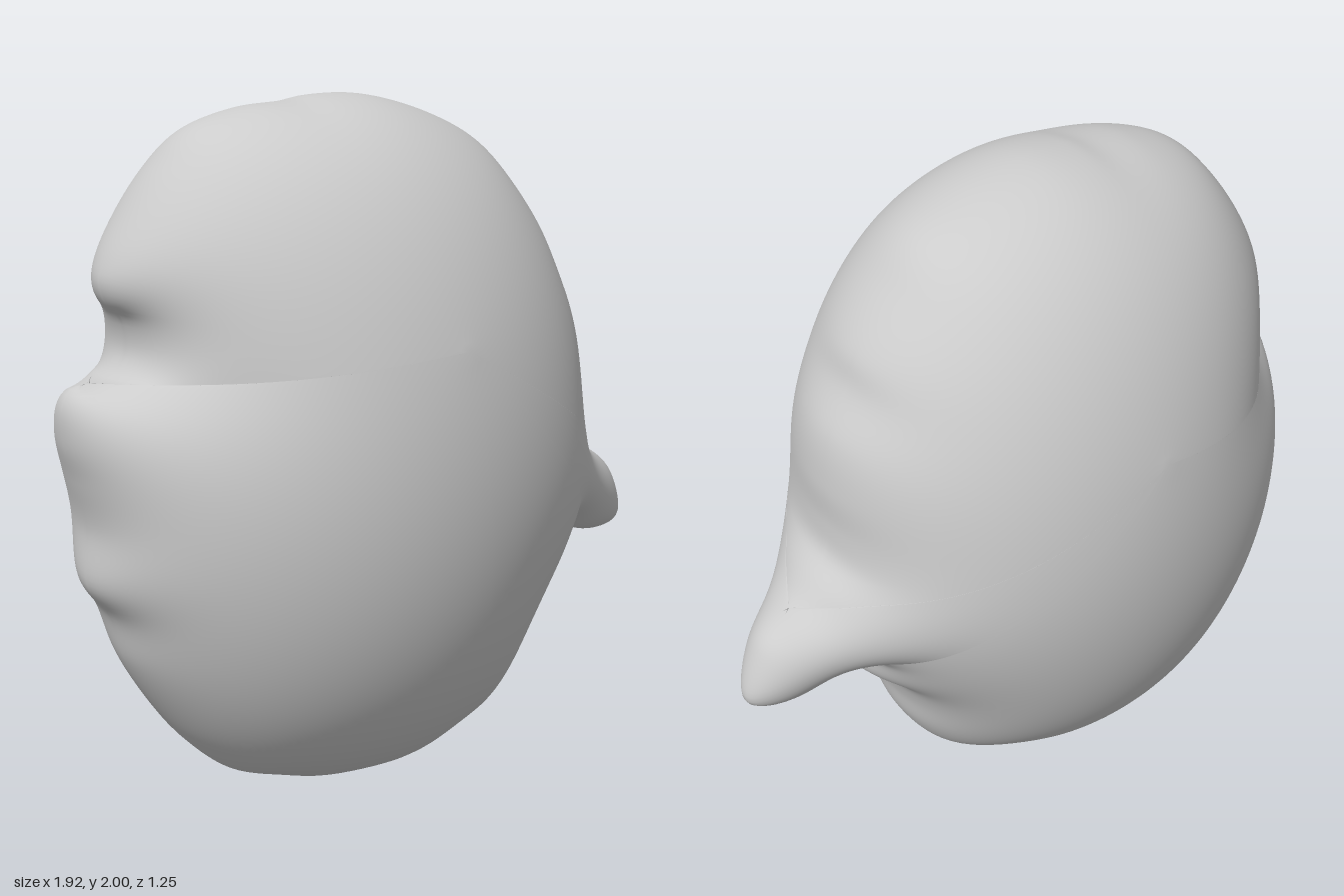
import * as THREE from 'three';

// Side outline of the body, counterclockwise from the crown
const OUTLINE = [
  [-.05, 2], [-.2, 1.995], [-.27, 1.98], [-.42, 1.96], [-.58, 1.9], [-.68, 1.8], [-.77, 1.67], [-.83, 1.56],
  [-.845, 1.5], [-.83, 1.45], [-.785, 1.4], [-.775, 1.31], [-.82, 1.25], [-.93, 1.225], [-.96, 1.18],
  [-.96, 1.08], [-.93, .97], [-.9, .84], [-.905, .68], [-.84, .58], [-.8, .45], [-.7, .28], [-.62, .18],
  [-.5, .08], [-.38, .045], [-.26, .015], [-.1, .01], [0, .01], [.06, .025], [.12, .025], [.155, .07],
  [.18, .09], [.3, .11], [.36, .16], [.43, .28], [.46, .4], [.5, .49], [.6, .59], [.615, .68], [.655, .69],
  [.72, .645], [.83, .612], [.94, .63], [.96, .66], [.91, .8], [.88, .843], [.82, .886], [.775, .91],
  [.71, .98], [.66, 1.03], [.645, 1.12], [.645, 1.25], [.62, 1.4], [.55, 1.53], [.52, 1.62], [.41, 1.77],
  [.31, 1.88], [.15, 1.955],
];
const CENTRE = [-.06, 1.33], RINGS = 48, SPOKES = 360, DEPTH = .625;

// Solve -laplace(u) = 2 with u = 0 on the rim: conjugate gradients on a triangle mesh
function solveBulge(xy, tris, free) {
  const n = xy.length, edges = [], b = new Float64Array(n), diag = new Float64Array(n);
  for (const t of tris) {
    const [p, q, r] = t.map((i) => xy[i]);
    const area2 = Math.max(1e-8, Math.abs((q[0] - p[0]) * (r[1] - p[1]) - (q[1] - p[1]) * (r[0] - p[0])));
    for (let k = 0; k < 3; k++) {
      const a = t[k], i = t[(k + 1) % 3], j = t[(k + 2) % 3];
      const dot = (xy[i][0] - xy[a][0]) * (xy[j][0] - xy[a][0]) + (xy[i][1] - xy[a][1]) * (xy[j][1] - xy[a][1]);
      const w = dot / area2 / 2;
      edges.push(i, j, w);
      diag[i] += w;
      diag[j] += w;
      b[a] += area2 / 3;
    }
  }
  const E = Float64Array.from(edges);
  const multiply = (v, out) => {
    out.fill(0);
    for (let e = 0; e < E.length; e += 3) {
      const i = E[e], j = E[e + 1], f = E[e + 2] * (v[i] - v[j]);
      out[i] += f;
      out[j] -= f;
    }
  };
  const u = new Float64Array(n), r = new Float64Array(n), d = new Float64Array(n), Ad = new Float64Array(n);
  let rho = 0;
  for (let i = 0; i < free; i++) {
    r[i] = b[i];
    d[i] = r[i] / diag[i];
    rho += r[i] * d[i];
  }
  const stop = rho * 1e-12;
  for (let it = 0; it < 2500 && rho > stop; it++) {
    multiply(d, Ad);
    let dAd = 0, next = 0;
    for (let i = 0; i < free; i++) dAd += d[i] * Ad[i];
    const alpha = rho / dAd;
    for (let i = 0; i < free; i++) {
      u[i] += alpha * d[i];
      r[i] -= alpha * Ad[i];
      next += r[i] * r[i] / diag[i];
    }
    for (let i = 0; i < free; i++) d[i] = r[i] / diag[i] + next / rho * d[i];
    rho = next;
  }
  return u;
}

// Inflate the outline symmetrically to both sides
function inflatedGeometry() {
  const curve = new THREE.CatmullRomCurve3(OUTLINE.map(([x, y]) => new THREE.Vector3(x, y, 0)), true);
  curve.arcLengthDivisions = 1500;
  const rim = curve.getSpacedPoints(SPOKES).slice(0, SPOKES);

  // Rings from the centre to the rim, crowded near the rim
  const xy = [CENTRE], tris = [];
  const id = (j, i) => (j === 0 ? 0 : 1 + (j - 1) * SPOKES + (i % SPOKES));
  for (let j = 1; j <= RINGS; j++) {
    const s = Math.sin(j / RINGS * Math.PI / 2);
    for (const p of rim) xy.push([CENTRE[0] + (p.x - CENTRE[0]) * s, CENTRE[1] + (p.y - CENTRE[1]) * s]);
  }
  for (let j = 0; j < RINGS; j++) {
    for (let i = 0; i < SPOKES; i++) {
      tris.push([id(j, i), id(j + 1, i), id(j + 1, i + 1)]);
      if (j > 0) tris.push([id(j, i), id(j + 1, i + 1), id(j, i + 1)]);
    }
  }
  const free = id(RINGS, 0);
  const u = solveBulge(xy, tris, free);
  const top = u.reduce((m, v) => Math.max(m, v), 0);

  // Front half, then its mirror; the rim is shared
  const pos = [], index = [];
  const depth = (i) => DEPTH * Math.sqrt(Math.max(0, u[i]) / top);
  xy.forEach(([x, y], i) => pos.push(x, y, depth(i)));
  for (let i = 0; i < free; i++) pos.push(xy[i][0], xy[i][1], -depth(i));
  const back = (i) => (i < free ? xy.length + i : i);
  for (const [a, b, c] of tris) index.push(a, b, c, back(a), back(c), back(b));

  const geometry = new THREE.BufferGeometry();
  geometry.setAttribute('position', new THREE.Float32BufferAttribute(pos, 3));
  geometry.setIndex(index);
  geometry.computeVertexNormals();
  return geometry;
}

export function createModel() {
  const group = new THREE.Group();
  const material = new THREE.MeshStandardMaterial({ color: 0xcccccc, side: THREE.DoubleSide });

  // Head with the nose and the notch at the back
  const head = new THREE.Mesh(inflatedGeometry(), material);
  head.name = 'head';
  group.add(head);

  // Small pointed spur under the chin
  const from = new THREE.Vector3(.1, .048, 0), tip = new THREE.Vector3(.215, .005, 0);
  const spur = new THREE.Mesh(new THREE.ConeGeometry(.032, from.distanceTo(tip), 20), material);
  spur.name = 'chinSpur';
  spur.position.copy(from).lerp(tip, .5);
  spur.quaternion.setFromUnitVectors(new THREE.Vector3(0, 1, 0), tip.clone().sub(from).normalize());
  group.add(spur);
  return group;
}
